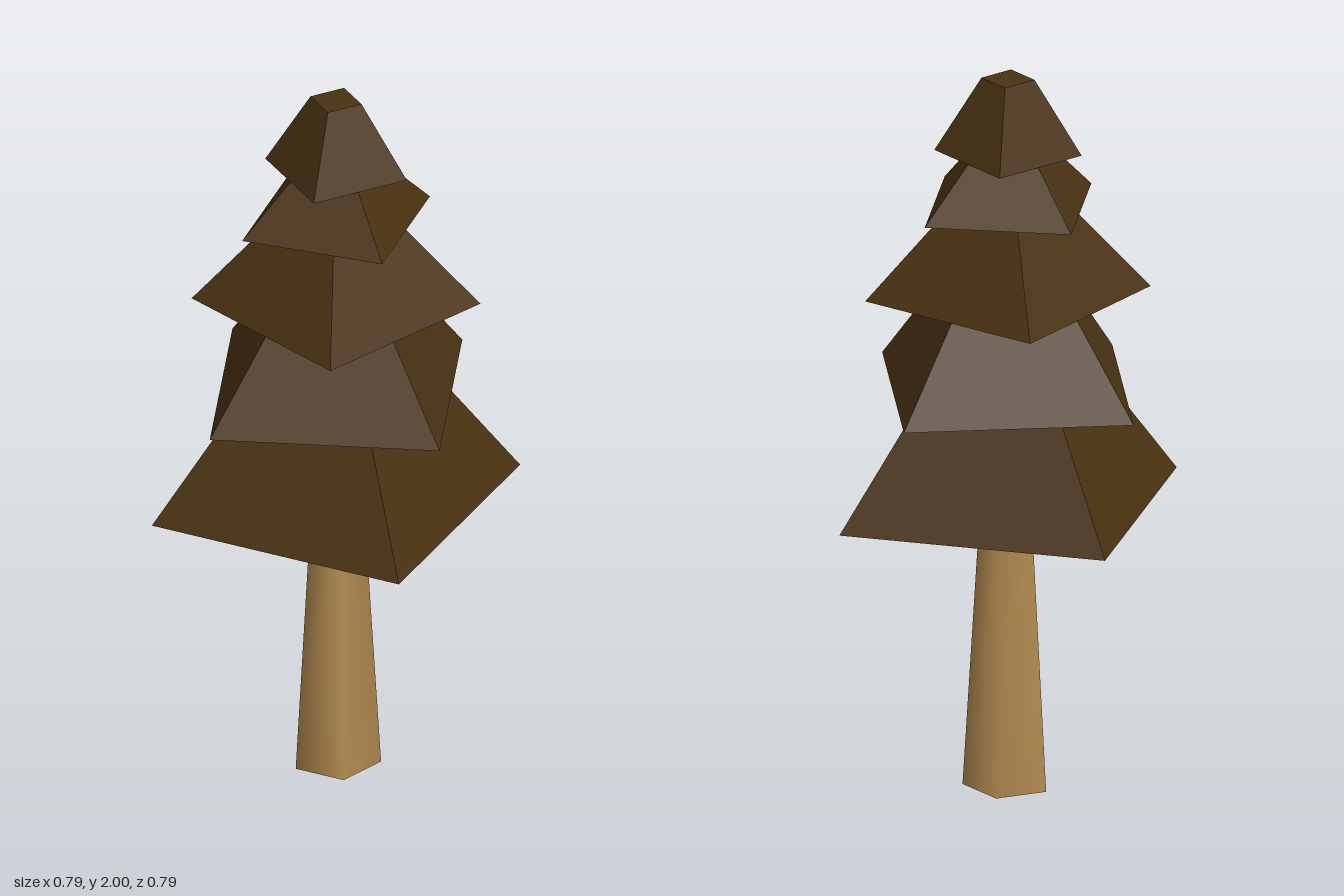
import * as THREE from 'three';

const wood = new THREE.MeshStandardMaterial({ color: 0xb48c52, side: THREE.DoubleSide });
wood.name = 'trunkWood';
const foliage = new THREE.MeshStandardMaterial({ color: 0x4a3212, flatShading: true });
foliage.name = 'darkFoliage';

// Each tier: bottom y, top y, bottom corner radius, top corner radius, corner angle from +z (degrees)
const TIERS = [
  [0.80, 1.125, 0.517, 0.275, 45],
  [1.12, 1.40, 0.434, 0.215, 65.5],
  [1.39, 1.65, 0.384, 0.15, 23.9],
  [1.64, 1.795, 0.278, 0.125, 52.3],
  [1.79, 2.00, 0.197, 0.071, 8.7],
];

export function createModel() {
  const tree = new THREE.Group();
  tree.name = 'pineTree';

  // Tapered five-sided trunk, smooth shaded and open at the ends
  const trunkGeo = new THREE.CylinderGeometry(0.073, 0.121, 0.81, 5, 1, true, Math.PI);
  trunkGeo.translate(0, 0.405, 0);
  const trunk = new THREE.Mesh(trunkGeo, wood);
  trunk.name = 'trunk';
  tree.add(trunk);

  // Stacked, twisted four-sided foliage tiers
  TIERS.forEach(([y0, y1, rBottom, rTop, deg], i) => {
    const geo = new THREE.CylinderGeometry(rTop, rBottom, y1 - y0, 4, 1, false, THREE.MathUtils.degToRad(deg));
    geo.translate(0, (y0 + y1) / 2, 0);
    const tier = new THREE.Mesh(geo, foliage);
    tier.name = `foliageTier${i + 1}`;
    tree.add(tier);
  });

  return tree;
}
